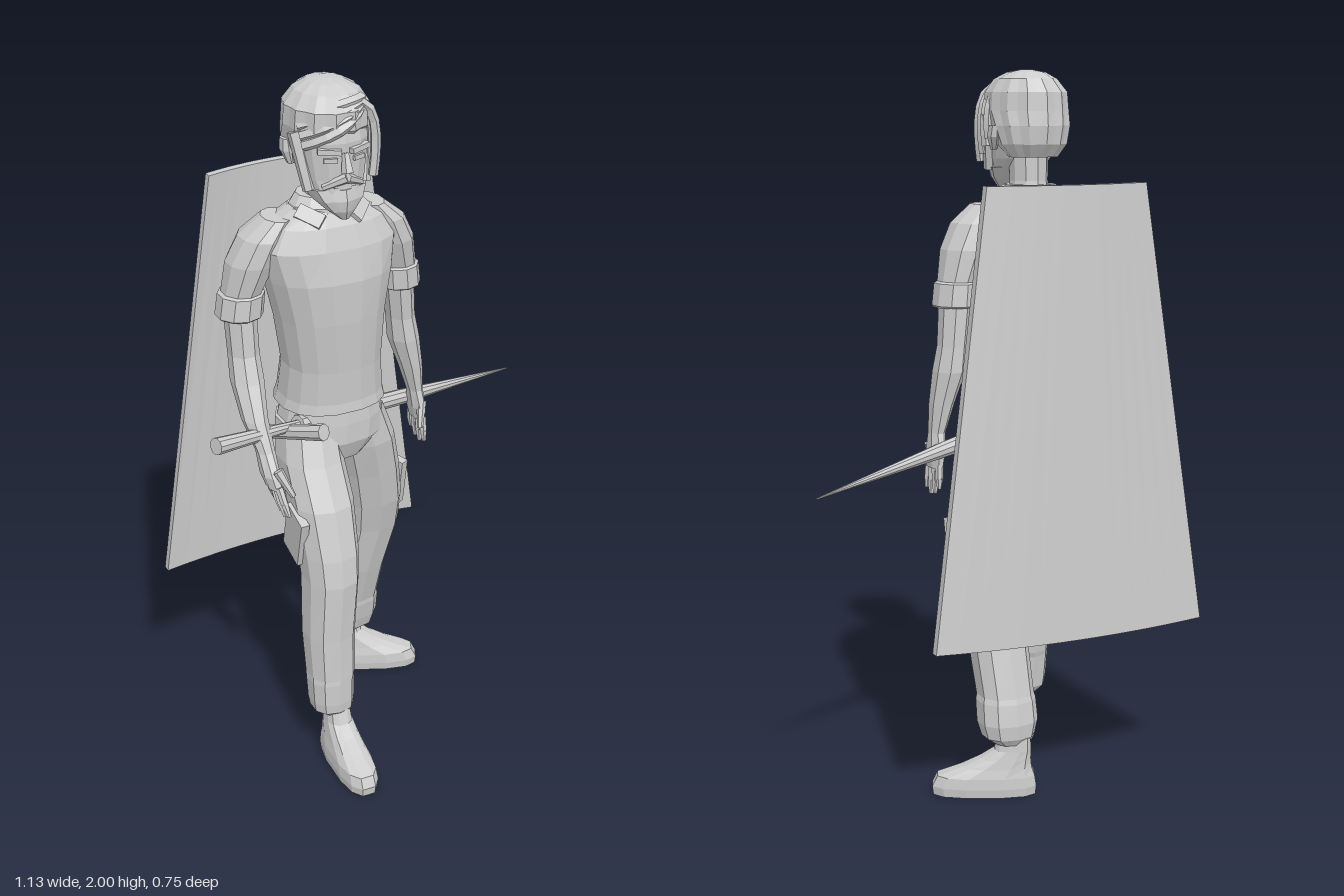
import * as THREE from 'three';

const grey = new THREE.MeshStandardMaterial({ color: 0xcccccc, flatShading: true });
grey.name = 'plainGrey';

// Lofted skin through rings [x, y, z, rx, rz], listed from bottom to top
function loft(rings, sides = 12, square = 1, ridge = 0) {
  const pos = [], idx = [];
  const pw = v => Math.sign(v) * Math.pow(Math.abs(v), square);
  for (const [x, y, z, rx, rz] of rings) {
    for (let i = 0; i < sides; i++) {
      const a = (i + 0.5) / sides * Math.PI * 2;
      const k = 1 + (i % 2 ? ridge : -ridge);
      pos.push(x + pw(Math.cos(a)) * rx * k, y, z + pw(Math.sin(a)) * rz * k);
    }
  }
  for (let r = 0; r < rings.length - 1; r++) {
    for (let i = 0; i < sides; i++) {
      const a = r * sides + i, b = r * sides + (i + 1) % sides;
      idx.push(a, a + sides, b, b, a + sides, b + sides);
    }
  }
  // End caps
  const top = (rings.length - 1) * sides;
  for (let i = 1; i < sides - 1; i++) {
    idx.push(0, i, i + 1, top, top + i + 1, top + i);
  }
  const g = new THREE.BufferGeometry();
  g.setAttribute('position', new THREE.Float32BufferAttribute(pos, 3));
  g.setIndex(idx);
  g.computeVertexNormals();
  return g;
}

// Tapered bar between two points
function bar(p, q, r0, r1, sides = 6) {
  const a = new THREE.Vector3(...p), b = new THREE.Vector3(...q);
  const d = b.clone().sub(a);
  const g = new THREE.CylinderGeometry(r1, r0, d.length(), sides);
  g.applyQuaternion(new THREE.Quaternion().setFromUnitVectors(new THREE.Vector3(0, 1, 0), d.normalize()));
  return g.translate(...a.add(b).multiplyScalar(0.5).toArray());
}

function box(w, h, d, x, y, z, rx = 0, ry = 0, rz = 0) {
  const g = new THREE.BoxGeometry(w, h, d);
  g.rotateZ(rz).rotateX(rx).rotateY(ry);
  return g.translate(x, y, z);
}

export function createModel() {
  const model = new THREE.Group();
  model.name = 'standingMan';
  const add = (name, geometry) => {
    const m = new THREE.Mesh(geometry, grey);
    m.name = name;
    model.add(m);
    return m;
  };

  // Shirt with flared hem
  add('shirt', loft([
    [-0.135, 1.07, -0.085, 0.156, 0.14], [-0.135, 1.1, -0.08, 0.148, 0.132],
    [-0.137, 1.2, -0.065, 0.139, 0.124], [-0.145, 1.35, -0.055, 0.155, 0.13],
    [-0.15, 1.47, -0.05, 0.18, 0.132], [-0.155, 1.56, -0.052, 0.2, 0.12],
    [-0.155, 1.62, -0.052, 0.165, 0.1], [-0.155, 1.66, -0.052, 0.1, 0.075],
  ], 16, 0.85));

  // Collar with two folded points
  add('collar', loft([
    [-0.155, 1.635, -0.052, 0.1, 0.083], [-0.155, 1.665, -0.052, 0.096, 0.08],
    [-0.155, 1.69, -0.058, 0.076, 0.064],
  ], 12));
  for (const s of [-1, 1]) {
    add('collarPoint', box(0.075, 0.04, 0.02, -0.155 + s * 0.07, 1.648, 0.012, -0.7, s * 0.5, s * 0.45));
  }

  // Trousers
  add('trouserSeat', loft([
    [-0.145, 0.91, -0.06, 0.09, 0.085], [-0.145, 0.97, -0.065, 0.15, 0.115],
    [-0.14, 1.03, -0.07, 0.15, 0.12], [-0.138, 1.1, -0.07, 0.135, 0.115],
  ], 14, 0.85));
  add('rightTrouserLeg', loft([
    [-0.235, 0.15, 0.13, 0.045, 0.045], [-0.242, 0.17, 0.132, 0.062, 0.06],
    [-0.243, 0.2, 0.132, 0.066, 0.063], [-0.243, 0.27, 0.128, 0.068, 0.068],
    [-0.24, 0.285, 0.125, 0.07, 0.07], [-0.24, 0.42, 0.115, 0.074, 0.078],
    [-0.228, 0.6, 0.105, 0.078, 0.092], [-0.226, 0.68, 0.09, 0.083, 0.094],
    [-0.227, 0.82, 0.045, 0.09, 0.1], [-0.228, 0.93, -0.02, 0.09, 0.105],
    [-0.22, 1.03, -0.06, 0.08, 0.1],
  ], 10, 0.85));
  add('leftTrouserLeg', loft([
    [-0.01, 0.15, -0.24, 0.045, 0.045], [-0.01, 0.17, -0.235, 0.075, 0.062],
    [-0.01, 0.21, -0.23, 0.086, 0.07], [-0.01, 0.27, -0.218, 0.084, 0.072],
    [-0.01, 0.285, -0.215, 0.08, 0.07], [-0.005, 0.42, -0.18, 0.083, 0.075],
    [0.017, 0.58, -0.15, 0.09, 0.085], [0.012, 0.68, -0.13, 0.095, 0.092],
    [-0.01, 0.8, -0.112, 0.098, 0.1], [-0.04, 0.92, -0.092, 0.1, 0.108],
    [-0.07, 1.03, -0.075, 0.085, 0.1],
  ], 10, 0.85));
  add('rightPocket', box(0.025, 0.16, 0.1, -0.309, 0.73, 0.06, 0.3, 0, 0.03));
  add('leftPocket', box(0.025, 0.15, 0.1, 0.092, 0.71, -0.15, 0.15, 0.45, 0.05));

  // Shoes, toe along local +z
  for (const [name, x, z, yaw] of [['rightShoe', -0.235, 0.23, -0.03], ['leftShoe', 0.055, -0.215, 1.15]]) {
    const shoe = add(name, loft([
      [0, 0, 0, 0.052, 0.147], [0, 0.025, 0, 0.055, 0.15], [0, 0.055, -0.005, 0.053, 0.14],
      [0, 0.08, -0.035, 0.047, 0.1], [0, 0.105, -0.06, 0.043, 0.072],
      [0, 0.13, -0.08, 0.039, 0.052], [0, 0.19, -0.09, 0.034, 0.04],
    ], 12, 0.75));
    shoe.position.set(x, 0, z);
    shoe.rotation.y = yaw;
  }

  // Sleeves, each with a turned-up cuff
  const sleeves = {
    left: [[0.085, 1.365, -0.088, 0.06, 0.064], [0.082, 1.37, -0.088, 0.066, 0.07],
      [0.076, 1.43, -0.085, 0.064, 0.07], [0.075, 1.435, -0.085, 0.056, 0.064],
      [0.05, 1.52, -0.075, 0.066, 0.08], [0.02, 1.59, -0.068, 0.062, 0.08], [-0.02, 1.64, -0.06, 0.04, 0.06]],
    right: [[-0.397, 1.365, -0.085, 0.06, 0.064], [-0.396, 1.37, -0.085, 0.066, 0.07],
      [-0.388, 1.43, -0.085, 0.064, 0.07], [-0.386, 1.435, -0.085, 0.056, 0.064],
      [-0.36, 1.52, -0.078, 0.068, 0.08], [-0.33, 1.59, -0.07, 0.062, 0.08], [-0.29, 1.64, -0.06, 0.04, 0.06]],
  };
  // Bare arms down to the flat of the hand
  const arms = {
    left: [[0.152, 0.925, -0.095, 0.016, 0.046], [0.148, 0.965, -0.093, 0.022, 0.05],
      [0.142, 1.02, -0.09, 0.023, 0.031], [0.128, 1.1, -0.092, 0.034, 0.042],
      [0.108, 1.19, -0.098, 0.045, 0.053], [0.098, 1.26, -0.098, 0.041, 0.048],
      [0.083, 1.4, -0.088, 0.045, 0.052]],
    right: [[-0.39, 0.93, 0.105, 0.02, 0.042], [-0.395, 0.965, 0.09, 0.025, 0.046],
      [-0.395, 1.02, 0.062, 0.026, 0.03], [-0.404, 1.1, 0.015, 0.036, 0.042],
      [-0.398, 1.19, -0.042, 0.046, 0.05], [-0.395, 1.26, -0.068, 0.043, 0.047],
      [-0.395, 1.4, -0.085, 0.045, 0.052]],
  };
  for (const side of ['left', 'right']) {
    add(side + 'Sleeve', loft(sleeves[side], 10));
    add(side + 'Arm', loft(arms[side], 8));
    // Fingers and thumb, hanging from the lowest ring of the arm
    const [x, y, z] = arms[side][0];
    const swing = side === 'left' ? 0 : 0.03, lean = side === 'left' ? 0.004 : 0.012;
    for (let i = 0; i < 4; i++) {
      const o = (i - 1.5) * 0.023, len = [0.055, 0.072, 0.078, 0.066][i];
      const mid = [x + lean / 2, y - len * 0.5, z + o * 1.15 + swing / 2];
      add(side + 'Finger', bar([x, y + 0.01, z + o], mid, 0.012, 0.011));
      add(side + 'Finger', bar(mid, [x + lean, y - len, z + o * 1.2 + swing], 0.011, 0.006));
    }
    const inward = side === 'left' ? -0.02 : 0.03;
    add(side + 'Thumb', bar([x, y + 0.06, z + 0.03], [x + inward, y - 0.01, z + 0.062], 0.015, 0.008));
  }

  // Neck and head
  const hx = -0.155;
  add('neck', loft([[hx, 1.62, -0.06, 0.065, 0.06], [hx, 1.7, -0.055, 0.053, 0.055], [hx, 1.82, -0.05, 0.056, 0.06]], 10));
  add('head', loft([
    [hx, 1.68, 0.05, 0.04, 0.035], [hx, 1.71, 0.03, 0.065, 0.055], [hx, 1.76, 0, 0.086, 0.08],
    [hx, 1.82, -0.015, 0.096, 0.1], [hx, 1.86, -0.02, 0.1, 0.108], [hx, 1.93, -0.03, 0.095, 0.105],
  ], 14, 0.9));
  add('nose', bar([hx, 1.835, 0.085], [hx, 1.785, 0.098], 0.009, 0.017, 5));
  for (const s of [-1, 1]) {
    add('eyebrow', box(0.062, 0.014, 0.022, hx + s * 0.042, 1.842, 0.078, 0, s * 0.35, s * 0.08));
    add('eye', box(0.036, 0.012, 0.008, hx + s * 0.04, 1.818, 0.081, 0, s * 0.35));
    add('moustache', bar([hx, 1.77, 0.092], [hx + s * 0.055, 1.742, 0.062], 0.014, 0.009));
    add('ear', loft([[hx + s * 0.1, 1.785, -0.04, 0.008, 0.012], [hx + s * 0.108, 1.82, -0.05, 0.014, 0.026],
      [hx + s * 0.108, 1.85, -0.055, 0.01, 0.022]], 6));
    add('sideburn', bar([hx + s * 0.099, 1.88, -0.005], [hx + s * 0.078, 1.73, 0.03], 0.022, 0.018));
  }
  add('mouth', box(0.06, 0.012, 0.01, hx, 1.747, 0.077));

  // Beard: jaw hugging mass with a pointed chin
  add('beard', loft([
    [hx + 0.005, 1.65, 0.063, 0.012, 0.012], [hx, 1.675, 0.055, 0.038, 0.033],
    [hx, 1.705, 0.036, 0.068, 0.056], [hx, 1.735, 0.014, 0.086, 0.07],
  ], 14, 1, 0.04));

  // Ridged swept hair
  add('hair', loft([
    [hx, 1.765, -0.085, 0.07, 0.05], [hx, 1.8, -0.075, 0.097, 0.085], [hx, 1.85, -0.06, 0.109, 0.107],
    [hx, 1.89, -0.036, 0.112, 0.126], [hx, 1.94, -0.034, 0.108, 0.124], [hx + 0.005, 1.975, -0.04, 0.083, 0.095],
    [hx + 0.005, 1.993, -0.045, 0.05, 0.06], [hx + 0.005, 2.0, -0.045, 0.015, 0.02],
  ], 26, 1, 0.025));
  // Fringe swept from the left parting, and locks hanging at the left temple
  for (let i = 0; i < 4; i++) {
    const y = 1.955 - i * 0.022;
    const curve = new THREE.QuadraticBezierCurve3(
      new THREE.Vector3(-0.09, 1.96 - i * 0.008, 0.045),
      new THREE.Vector3(-0.16, y + 0.01, 0.105 + i * 0.008),
      new THREE.Vector3(-0.25, y - 0.035, 0.0 + i * 0.012));
    add('fringeLock', new THREE.TubeGeometry(curve, 6, 0.015, 5));
    const lock = new THREE.QuadraticBezierCurve3(
      new THREE.Vector3(-0.1, 1.955, 0.055 - i * 0.02),
      new THREE.Vector3(-0.035, 1.93, 0.055 - i * 0.025),
      new THREE.Vector3(-0.06 + i * 0.004, 1.75 + i * 0.022, 0.05 - i * 0.025));
    add('templeLock', new THREE.TubeGeometry(lock, 6, 0.014, 5));
  }

  // Sword carried across the hips
  const at = t => [-0.55 + 1.11 * t, 1.087 - 0.176 * t, 0.098 - 0.366 * t];
  add('swordGrip', bar(at(0), at(0.25), 0.024, 0.013, 10));
  add('swordBlade', bar(at(0.25), at(0.6), 0.027, 0.023, 10));
  add('swordBladeTip', bar(at(0.6), at(1), 0.023, 0.002, 10));
  add('swordGuard', bar([-0.355, 1.005, -0.07], [-0.25, 1.072, 0.13], 0.018, 0.024, 8));

  // Tall curved shield behind the back
  const shield = new THREE.BoxGeometry(2, 1, 0.025, 14, 1, 1);
  const p = shield.attributes.position;
  for (let i = 0; i < p.count; i++) {
    const u = p.getX(i), v = p.getY(i) + 0.5, L = THREE.MathUtils.lerp;
    p.setXYZ(i, -0.156 + u * L(0.412, 0.24, v), L(0.465, 1.7, v),
      L(-0.365, -0.312, v) + 0.038 * u * u + p.getZ(i));
  }
  shield.computeVertexNormals();
  add('shield', shield);

  return model;
}
